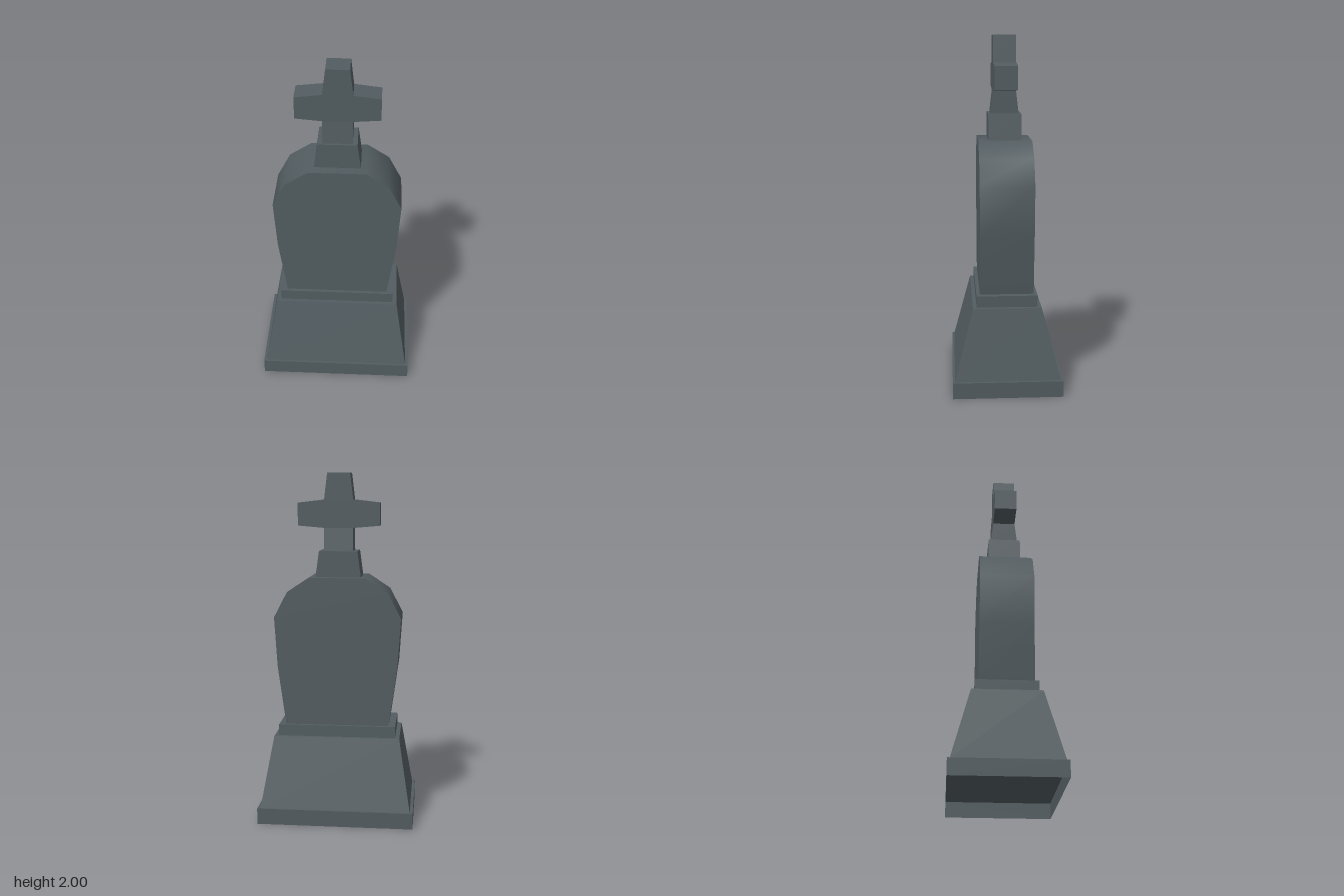
import * as THREE from 'three';
import { toCreasedNormals } from 'three/addons/utils/BufferGeometryUtils.js';

const stone = new THREE.MeshStandardMaterial({ color: 0x525c60, side: THREE.DoubleSide });
stone.name = 'dark stone';

function add(group, name, geometry) {
  const mesh = new THREE.Mesh(geometry, stone);
  mesh.name = name;
  group.add(mesh);
  return mesh;
}

// Box from y0 to y1 whose half sizes go from [x, z] at the bottom to [x, z] at the top
function taperedBox(y0, y1, bottom, top) {
  const g = new THREE.BoxGeometry(2, 1, 2);
  const p = g.attributes.position;
  for (let i = 0; i < p.count; i++) {
    const up = p.getY(i) > 0;
    const half = up ? top : bottom;
    p.setXYZ(i, p.getX(i) * half[0], up ? y1 : y0, p.getZ(i) * half[1]);
  }
  const flat = g.toNonIndexed();
  flat.computeVertexNormals();
  return flat;
}

// Right half of an outline, listed upwards, mirrored and extruded about z = 0
function mirroredSlab(half, depth, crease) {
  const left = half.map(([x, y]) => [-x, y]).reverse();
  const shape = new THREE.Shape([...half, ...left].map(([x, y]) => new THREE.Vector2(x, y)));
  const g = new THREE.ExtrudeGeometry(shape, { depth, bevelEnabled: false });
  g.translate(0, 0, -depth / 2);
  return toCreasedNormals(g, crease);
}

export function createModel() {
  const model = new THREE.Group();
  model.name = 'gravestone';

  // Ground slab, hollow and open underneath
  const slab = new THREE.BoxGeometry(0.894, 0.092, 0.62);
  slab.translate(0, 0.046, 0);
  const index = Array.from(slab.index.array);
  index.splice(18, 6); // drop the bottom face
  slab.setIndex(index);
  slab.clearGroups();
  add(model, 'groundSlab', slab);

  // Stepped base
  add(model, 'pedestal', taperedBox(0.092, 0.495, [0.43, 0.297], [0.362, 0.193]));
  add(model, 'baseBand', taperedBox(0.495, 0.56, [0.337, 0.172], [0.337, 0.172]));

  // Headstone with a rounded shoulder
  add(model, 'headstone', mirroredSlab([
    [0.298, 0.56], [0.345, 0.9], [0.363, 1.185], [0.287, 1.33], [0.162, 1.412],
  ], 0.304, 0.7));

  // Cross and its foot
  add(model, 'crossFoot', taperedBox(1.412, 1.56, [0.13, 0.094], [0.11, 0.094]));
  add(model, 'crossShaft', taperedBox(1.56, 1.69, [0.083, 0.08], [0.083, 0.065]));
  add(model, 'cross', mirroredSlab([
    [0.083, 1.69], [0.234, 1.703], [0.234, 1.832], [0.083, 1.85], [0.065, 2],
  ], 0.13, 0.2));

  return model;
}
